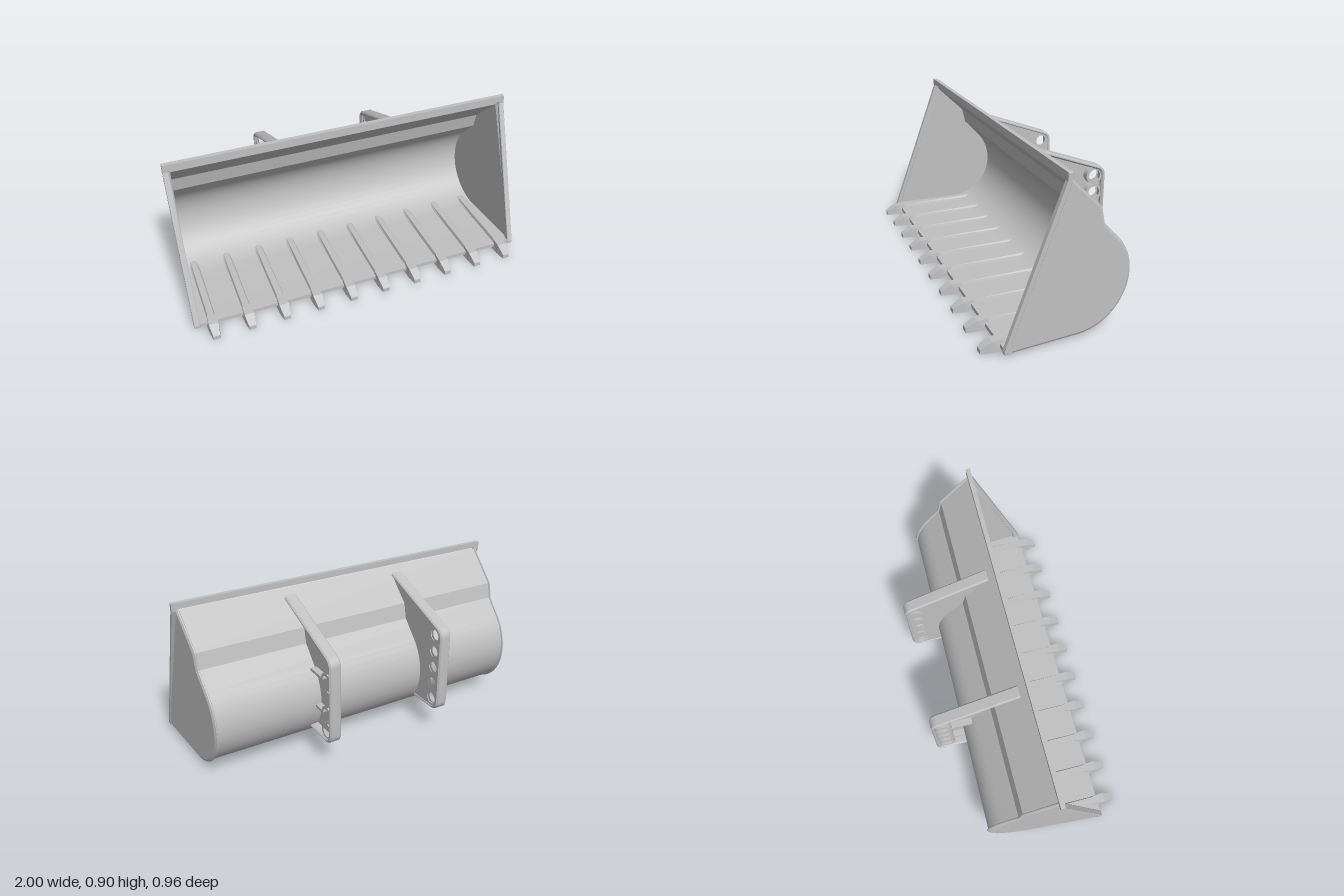
import * as THREE from 'three';
import { toCreasedNormals } from 'three/addons/utils/BufferGeometryUtils.js';

const steel = new THREE.MeshStandardMaterial({ color: 0xc0c0c0 });
steel.name = 'steel grey';

// Bucket side profile as [z, y] points, moved inwards by o
function profile(o) {
  const pts = [[0.38, 0.02 + o]];
  const n = 18, r = 0.29 - o;
  for (let i = 0; i <= n; i++) {
    const a = -Math.PI / 2 + (i / n) * 2.32;
    pts.push([-0.02 - r * Math.cos(a), 0.31 + r * Math.sin(a)]);
  }
  pts.push([-0.145 + 0.9 * o, 0.6 - 0.4 * o], [-0.125 + 0.9 * o, 0.69 - 0.45 * o], [0.06, 0.87 - 1.35 * o]);
  return pts;
}

// Bracket outline as [z, y] points, moved inwards by o
function bracketEdge(o) {
  const r = 0.06 - o, pts = [];
  const up = THREE.MathUtils.degToRad(69);
  const top = [-0.42 - r * Math.cos(up), 0.6 + r * Math.sin(up)];
  pts.push([top[0] + 0.46, top[1] + 0.1752]);
  for (let i = 0; i <= 6; i++) {
    const a = up * (1 - i / 6);
    pts.push([-0.42 - r * Math.cos(a), 0.6 + r * Math.sin(a)]);
  }
  for (let i = 0; i <= 6; i++) {
    const a = (-Math.PI / 2) * (i / 6);
    pts.push([-0.42 - r * Math.cos(a), 0.197 + r * Math.sin(a)]);
  }
  pts.push([-0.25, 0.137 + o]);
  return pts;
}

// Extrudes a [z, y] outline between x0 and x1, with optional round holes [z, y, r]
function slab(pts, x0, x1, { bevel = 0, bevelX = bevel, holes = [] } = {}) {
  const shape = new THREE.Shape(pts.map(([z, y]) => new THREE.Vector2(-z, y)));
  for (const [z, y, r] of holes) {
    shape.holes.push(new THREE.Path().absarc(-z, y, r, 0, Math.PI * 2, true));
  }
  const geo = new THREE.ExtrudeGeometry(shape, {
    depth: x1 - x0 - 2 * bevelX, curveSegments: 12, bevelEnabled: bevel > 0,
    bevelSize: bevel, bevelOffset: -bevel, bevelThickness: bevelX, bevelSegments: 1,
  });
  geo.translate(0, 0, x0 + bevelX);
  return geo.rotateY(Math.PI / 2);
}

// Moves vertices sideways by a rule of x and z
function reshapeX(geo, rule) {
  const p = geo.attributes.position;
  for (let i = 0; i < p.count; i++) p.setX(i, rule(p.getX(i), p.getZ(i)));
  return geo;
}

// Four-sided bar from stations [z, bottom, top, bottom width, top width]
function toothGeometry() {
  const rings = [
    [-0.12, 0.05, 0.06, 0.05, 0.03],
    [0.345, 0.018, 0.06, 0.064, 0.036],
    [0.365, 0, 0.06, 0.062, 0.046],
    [0.42, 0, 0.06, 0.058, 0.054],
    [0.48, 0, 0.025, 0.04, 0.038],
  ].map(([z, b, t, wb, wt]) => [[-wb / 2, b, z], [wb / 2, b, z], [wt / 2, t, z], [-wt / 2, t, z]]);
  const v = [];
  const quad = (a, b, c, d) => v.push(...a, ...b, ...c, ...a, ...c, ...d);
  for (let i = 0; i < rings.length - 1; i++) {
    for (let k = 0; k < 4; k++) {
      const m = (k + 1) % 4;
      quad(rings[i][k], rings[i][m], rings[i + 1][m], rings[i + 1][k]);
    }
  }
  quad(...rings[rings.length - 1]);
  quad(...[...rings[0]].reverse());
  const geo = new THREE.BufferGeometry();
  geo.setAttribute('position', new THREE.Float32BufferAttribute(v, 3));
  geo.computeVertexNormals();
  return geo;
}

export function createModel() {
  const model = new THREE.Group();
  model.name = 'loaderBucket';
  const add = (name, geo, parent = model) => {
    const mesh = new THREE.Mesh(geo, steel);
    mesh.name = name;
    parent.add(mesh);
    return mesh;
  };
  const box = (name, w, y0, y1, z0, z1) =>
    add(name, new THREE.BoxGeometry(w, y1 - y0, z1 - z0).translate(0, (y0 + y1) / 2, (z0 + z1) / 2));

  // Curved shell, narrowing slightly towards the back
  const shell = slab([...profile(0.008), ...profile(0.022).reverse()], -1, 1);
  reshapeX(shell, (x, z) => Math.sign(x) * (0.965 + 0.065 * z));
  add('shell', toCreasedNormals(shell, 0.4));

  // Slanted end plates with chamfered edges, and the rims along their fronts
  const rim = [[0.385, 0.02], [0.385, 0.035], [0.08, 0.855], [0.08, 0.9], [0.055, 0.9],
    [0.055, 0.855], [0.345, 0.08], [0.345, 0.02]];
  for (const s of [1, -1]) {
    const side = s > 0 ? 'left' : 'right';
    const x0 = s > 0 ? 0.955 : -0.975;
    const plate = slab(profile(0), x0, x0 + 0.02, { bevel: 0.014, bevelX: 0.007 });
    reshapeX(plate, (x, z) => x + s * 0.065 * z);
    add(side + 'EndPlate', toCreasedNormals(plate, 0.4));
    const r0 = s > 0 ? 0.968 : -1;
    add(side + 'Rim', slab(rim, r0, r0 + 0.032, { bevel: 0.003 }));
  }
  box('topRim', 1.98, 0.866, 0.9, 0.055, 0.08);
  box('cuttingEdge', 1.98, 0.02, 0.042, 0.345, 0.38);

  // Teeth with long ribs running back over the floor
  const tooth = toothGeometry();
  for (let i = 0; i < 10; i++) add('tooth', tooth).position.x = -0.9 + 0.2 * i;

  // Mounting brackets: web, edge flange, pin rings and ribs on the outer face
  const heights = [0.2, 0.3, 0.4, 0.5, 0.6];
  const contact = profile(0.013).filter(([, y]) => y > 0.14 && y < 0.82);
  const web = [...bracketEdge(0.006), ...contact];
  const flange = [...bracketEdge(0), ...bracketEdge(0.022).reverse()];
  for (const s of [1, -1]) {
    const bracket = new THREE.Group();
    bracket.name = s > 0 ? 'leftBracket' : 'rightBracket';
    model.add(bracket);
    // spans a to b outwards from the bracket's inner face
    const part = (name, pts, a, b, options) => {
      const [x0, x1] = s > 0 ? [0.315 + a, 0.315 + b] : [-0.315 - b, -0.315 - a];
      add(name, toCreasedNormals(slab(pts, x0, x1, options), 0.5), bracket);
    };
    part('web', web, 0.004, 0.024, { holes: heights.map((y) => [-0.417, y, 0.034]) });
    part('flange', flange, 0, 0.07, { bevel: 0.008 });
    const circle = Array.from({ length: 28 }, (_, i) => {
      const a = (i / 28) * Math.PI * 2;
      return [-0.417 + 0.05 * Math.cos(a), 0.05 * Math.sin(a)];
    });
    for (const y of heights) {
      part('pinRing', circle.map(([z, v]) => [z, v + y]), 0.02, 0.06, { holes: [[-0.417, y, 0.034]] });
    }
    for (const y of [0.25, 0.35, 0.45, 0.55]) {
      part('gusset', [[-0.425, y], [-0.462, y + 0.02], [-0.462, y - 0.02]], 0.02, 0.05);
    }
    for (const [y, z] of [[0.3, -0.3], [0.5, -0.25]]) {
      part('rib', [[z, y - 0.008], [z, y + 0.008], [-0.372, y + 0.008], [-0.372, y - 0.008]], 0.02, 0.06);
    }
  }
  return model;
}
